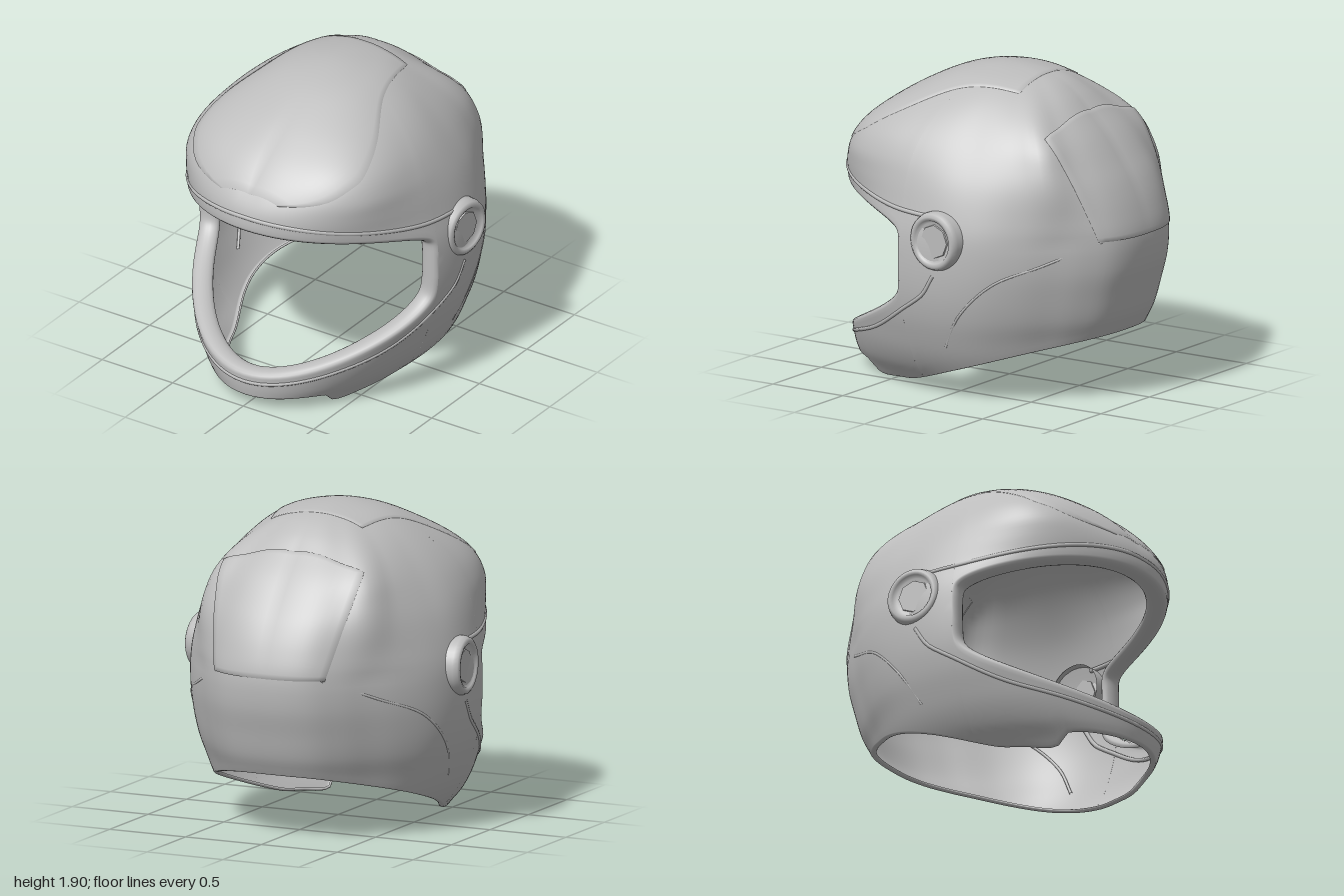
import * as THREE from 'three';
import { mergeVertices, mergeGeometries } from 'three/addons/utils/BufferGeometryUtils.js';

const V = (x, y, z) => new THREE.Vector3(x, y, z);
const TOP = 1.9, OPEN = 1.365, MID = 0.87; // crown height, half angle and mid height of the face opening

// Smooth lookup in a small table of [key, value, ...] rows
function lookup(table, k, col = 1) {
  const n = table.length - 1;
  if (k <= table[0][0]) return table[0][col];
  if (k >= table[n][0]) return table[n][col];
  let i = 0;
  while (table[i + 1][0] < k) i++;
  const slope = (j) => {
    const a = table[Math.max(0, j - 1)], b = table[Math.min(n, j + 1)];
    return (b[col] - a[col]) / (b[0] - a[0]);
  };
  const h = table[i + 1][0] - table[i][0], t = (k - table[i][0]) / h, t2 = t * t, t3 = t2 * t;
  return (2 * t3 - 3 * t2 + 1) * table[i][col] + (t3 - 2 * t2 + t) * h * slope(i)
    + (3 * t2 - 2 * t3) * table[i + 1][col] + (t3 - t2) * h * slope(i + 1);
}

// Outer form: height, half width, reach to the front, reach to the back
const depthKey = (y) => Math.sqrt(Math.max(0, TOP - y));
const SECTIONS = [
  [1.9, 0, 0, 0], [1.885, .15, .16, .2], [1.85, .29, .295, .35], [1.78, .42, .455, .47], [1.67, .55, .64, .585],
  [1.55, .65, .795, .70], [1.42, .73, .915, .80], [1.3, .785, .985, .88], [1.15, .83, 1, .95], [1, .86, 1, .99],
  [.82, .867, 1, .98], [.65, .855, 1, .935], [.5, .825, 1, .89], [.38, .785, 1, .83], [.25, .73, 1, .79],
  [.14, .66, .995, .75], [.05, .575, .98, .7], [-.05, .49, .96, .65],
].map(([y, ...r]) => [depthKey(y), ...r]);
// Plan outline: angle from the front, radius factor, weight of the front and rear corners
const PLAN = [[0, 1, 0, 0], [20, 1, .3, 0], [50, 1, 1, 0], [75, 1, .4, 0], [95, 1, 0, 0], [108, .99, 0, 0],
  [125, .96, 0, .45], [138, .95, 0, 1], [150, .975, 0, .5], [162, 1.005, 0, .2], [180, 1, 0, 0]];
// How much the front and rear corners square off by height
const CORNERS = [[1, 0, 0], [1.15, 0, .04], [1.3, .05, .1], [1.42, .12, .15], [1.55, .165, .195], [1.67, .145, .185],
  [1.8, .06, .085], [1.9, 0, 0]];
// Lower edge: z and height
const HEM = [[-.9, .41], [-.79, .39], [-.45, .3], [-.07, .18], [.3, .055], [.48, .03], [.6, .014], [.66, .025], [.73, .085], [1, .085]];

function rho(t, y) {
  const a = Math.abs(Math.atan2(Math.sin(t), Math.cos(t))) * 180 / Math.PI;
  return lookup(PLAN, a) + lookup(PLAN, a, 2) * lookup(CORNERS, y) + lookup(PLAN, a, 3) * lookup(CORNERS, y, 2);
}
function surf(t, y) {
  const k = depthKey(y), r = rho(t, y), c = Math.cos(t);
  return V(lookup(SECTIONS, k, 1) * r * Math.sin(t), y, lookup(SECTIONS, k, c > 0 ? 2 : 3) * r * c);
}
function field(x, y, z) {
  const k = depthKey(y);
  const nx = x / (lookup(SECTIONS, k, 1) + 1e-6), nz = z / (lookup(SECTIONS, k, z > 0 ? 2 : 3) + 1e-6);
  return Math.hypot(nx, nz) / rho(Math.atan2(nx, nz), y);
}
function normal({ x, y, z }) {
  if (y > 1.897) return V(0, 1, 0);
  const e = 0.002;
  return V(field(x + e, y, z) - field(x - e, y, z), field(x, y + e, z) - field(x, y - e, z),
    field(x, y, z + e) - field(x, y, z - e)).normalize();
}
// Where a ray from inside meets the outer form
function hit(o, d) {
  let a = 0, b = 2;
  for (let i = 0; i < 32; i++) {
    const m = (a + b) / 2, p = o.clone().addScaledVector(d, m);
    if (p.y < TOP && field(p.x, p.y, p.z) < 1) a = m; else b = m;
  }
  return o.clone().addScaledVector(d, a);
}
const lift = (p, d) => p.clone().addScaledVector(normal(p), d);

function grid(f, rows, cols) {
  const pos = [], idx = [];
  for (let i = 0; i <= rows; i++) for (let j = 0; j <= cols; j++) pos.push(...f(i, j).toArray());
  for (let i = 0; i < rows; i++) for (let j = 0; j < cols; j++) {
    const a = i * (cols + 1) + j, c = a + cols + 1;
    idx.push(a, a + 1, c + 1, a, c + 1, c);
  }
  const g = new THREE.BufferGeometry();
  g.setAttribute('position', new THREE.Float32BufferAttribute(pos, 3));
  g.setIndex(idx);
  return g;
}
function smooth(parts) {
  const g = mergeVertices(mergeGeometries(parts), 1e-5);
  g.computeVertexNormals();
  return g;
}

// Edges of the face opening and the lower hem at an angle
const opening = (t, line, n) => {
  const s = Math.min(1, Math.abs(t) / OPEN);
  return MID + (line - MID) * Math.pow(1 - s ** n, 1 / n);
};
const browEdge = (t) => opening(t, 1.055 + 0.15 * Math.cos(t), 7);
const chinEdge = (t) => opening(t, 0.645 - 0.43 * Math.cos(t), 8);
function hemEdge(t) {
  let y = 0.2;
  for (let i = 0; i < 14; i++) y = (y + lookup(HEM, surf(t, y).z)) / 2;
  return y;
}

// Thin skin with a deep rolled flange round the face opening and a small one round the hem
function shellGeometry() {
  // Columns crowd together at the sides of the opening
  const angles = [], half = 48, back = 72;
  for (let i = -half; i <= half; i++) {
    const q = i / half;
    angles.push(Math.sign(q) * OPEN * (1 - (1 - Math.abs(q)) ** 3));
  }
  for (let i = 1; i <= back; i++) angles.push(OPEN + (2 * Math.PI - 2 * OPEN) * i / back);
  const cols = angles.length - 1, U = 48, L = 18;
  const wrap = (t) => Math.atan2(Math.sin(t), Math.cos(t));
  const upper = (i, j) => {
    const t = wrap(angles[j]), k = depthKey(browEdge(t)) * (1 - i / U);
    return surf(t, TOP - k * k);
  };
  const hems = angles.map((t) => hemEdge(t));
  const lower = (i, j) => {
    const t = wrap(angles[j]);
    return surf(t, THREE.MathUtils.lerp(hems[j], chinEdge(t), i / L));
  };
  const rim = (loop, depth, bulge) => {
    const n = loop.length, K = 10;
    const data = loop.map((o, j) => {
      const nor = normal(o), tan = loop[(j + 1) % n].clone().sub(loop[(j + n - 1) % n]);
      const out = nor.clone().cross(tan).normalize();
      nor.y *= 0.3;
      const arm = nor.normalize().multiplyScalar(depth / 2);
      return { mid: o.clone().sub(arm), arm, out };
    });
    return grid((i, j) => {
      const { mid, arm, out } = data[j % n], a = 1.2 * Math.PI * i / K;
      return mid.clone().addScaledVector(arm, Math.cos(a)).addScaledVector(out, bulge * Math.sin(a));
    }, K, n);
  };
  const face = [], hem = [];
  for (let j = 2 * half; j >= 0; j--) face.push(upper(0, j));
  for (let j = 1; j < 2 * half; j++) face.push(lower(L, j));
  for (let j = cols; j > 0; j--) hem.push(lower(0, j));
  return smooth([grid(upper, U, cols), grid(lower, L, cols), rim(face, 0.125, 0.035), rim(hem, 0.035, 0.012)]);
}

// Slightly raised panel lying on the shell, with its borders sunk in
function panelGeometry(point, rows, cols, height) {
  return smooth([grid((i, j) => {
    const r = THREE.MathUtils.clamp((i - 1) / (rows - 2), 0, 1), c = THREE.MathUtils.clamp((j - 1) / (cols - 2), 0, 1);
    const edge = i === 0 || j === 0 || i === rows || j === cols;
    return lift(point(r, c * 2 - 1), edge ? -0.008 : height);
  }, rows, cols)]);
}

export function createModel() {
  const model = new THREE.Group();
  const grey = new THREE.MeshStandardMaterial({ color: 0xbcbcbc, side: THREE.DoubleSide });
  grey.name = 'shell grey';
  const add = (name, geometry, parent = model) => {
    const m = new THREE.Mesh(geometry, grey);
    m.name = name;
    parent.add(m);
    return m;
  };
  add('shell', shellGeometry());

  // Forehead panel, running from the brow over the crown
  const WIDTHS = [[-.28, .3], [.1, .39], [.4, .54], [.6, .585], [.7, .55], [.8, .47], [.88, .34], [.93, .2]];
  add('foreheadPanel', panelGeometry((r, c) => {
    const z = 0.93 - 1.21 * r;
    return hit(V(c * lookup(WIDTHS, z), 1.0, z), V(0, 1, 0));
  }, 40, 30, 0.005));

  // Rear panel, wider at its straight top edge
  const centre = V(0, 0.95, 0);
  add('rearPanel', panelGeometry((r, c) => {
    const a = hit(V(c * 0.46, 1, -0.57), V(0, 1, 0)), b = hit(V(c * 0.36, 1.0, 0), V(0, 0, -1));
    return hit(centre, a.lerp(b, r).sub(centre).normalize());
  }, 26, 24, 0.007));

  // Raised lines along the brow, the chin and the rear sides
  const ridge = (name, pts, r) =>
    add(name, new THREE.TubeGeometry(new THREE.CatmullRomCurve3(pts), 80, r, 8));
  const BROW = [[0, 1.13], [.28, 1.145], [.6, 1.195], [1, 1.275]];
  const CHIN = [[-.07, .82], [.01, .68], [.17, .56], [.46, .38], [.76, .265], [1, .175]];
  const around = (table, reach) => Array.from({ length: 41 }, (_, i) => {
    const t = reach * (i / 20 - 1);
    return lift(surf(t, lookup(table, Math.cos(t))), -0.005);
  });
  ridge('browRidge', around(BROW, 1.55), 0.014);
  ridge('chinRidge', around(CHIN, 1.62), 0.013);
  const CREASE = [[-.9, 1.0], [-.65, .87], [-.4, .75], [-.2, .55], [-.07, .33]];

  // Pivot disc: round collar with a faceted cap in the recess
  const collar = [[.18, -.06], [.177, .015], [.167, .042], [.15, .054], [.13, .048], [.115, .022], [0, .018]]
    .map(([x, y]) => new THREE.Vector2(x, y));
  for (const [side, s] of [['left', 1], ['right', -1]]) {
    ridge(side + 'RearCrease', CREASE.map(([z, y]) => lift(hit(V(0, y, z), V(s, 0, 0)), -0.005)), 0.009);
    const pivot = new THREE.Group();
    pivot.name = side + 'Pivot';
    pivot.position.set(s * 0.838, 0.99, -0.06);
    pivot.rotation.set(0, -s * 0.1, -s * Math.PI / 2, 'YXZ');
    add('collar', new THREE.LatheGeometry(collar, 40), pivot);
    add('cap', new THREE.CylinderGeometry(0.1, 0.108, 0.024, 8), pivot).position.y = 0.018;
    model.add(pivot);
  }
  return model;
}
